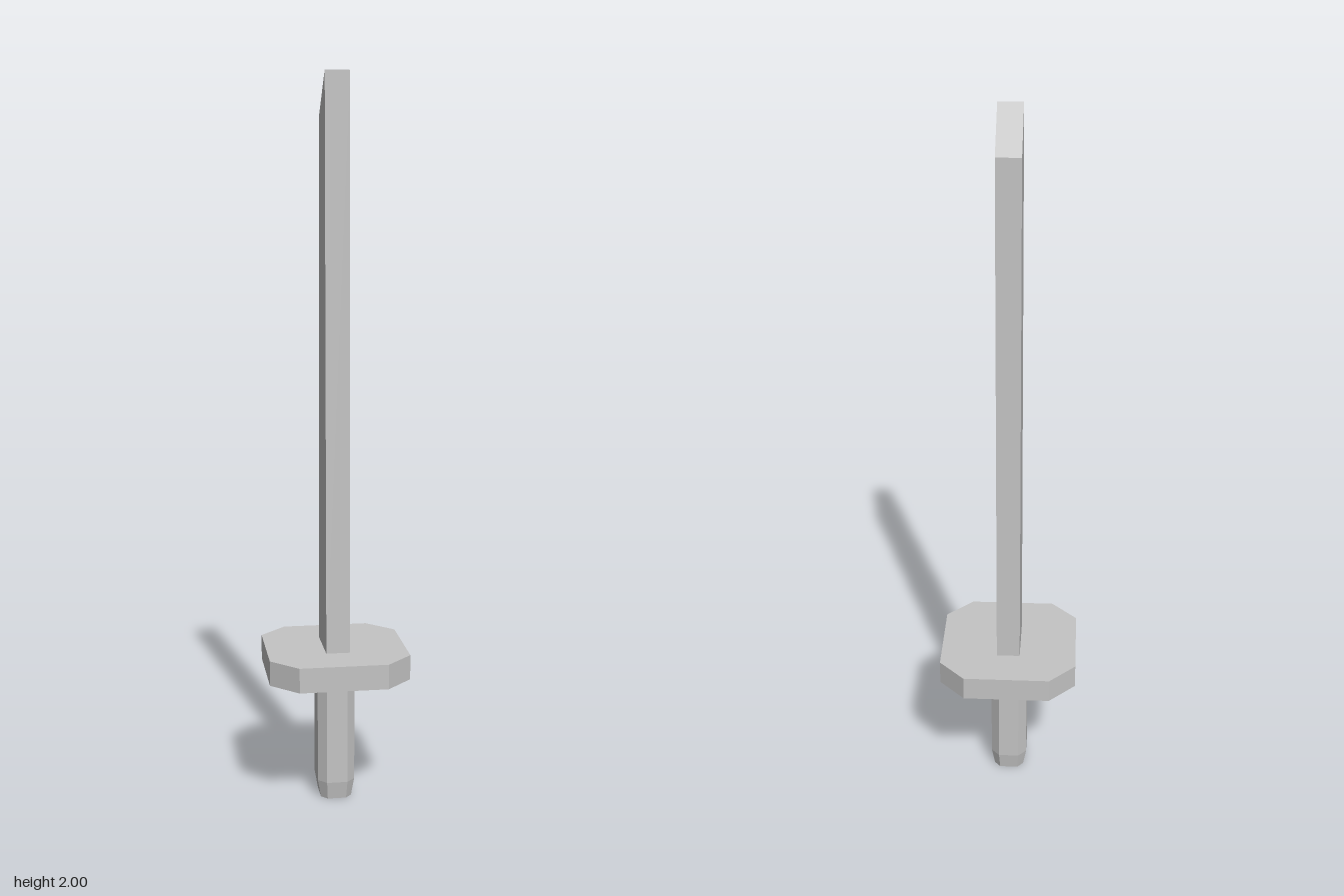
import * as THREE from 'three';

// Rectangle with cut corners: half sizes hx, hz and half lengths fx, fz of the flats
function cutRect(y, hx, hz, fx, fz) {
  return [
    [hx, fz], [hx, -fz], [fx, -hz], [-fx, -hz],
    [-hx, -fz], [-hx, fz], [-fx, hz], [fx, hz],
  ].map(([x, z]) => [x, y, z]);
}

// Joins cross-sections from bottom to top and caps both ends
function loft(rings) {
  const n = rings[0].length;
  const index = [];
  for (let r = 0; r < rings.length - 1; r++) {
    for (let i = 0; i < n; i++) {
      const a = r * n + i, b = r * n + (i + 1) % n;
      index.push(a, b, b + n, a, b + n, a + n);
    }
  }
  const top = (rings.length - 1) * n;
  for (let i = 1; i < n - 1; i++) {
    index.push(0, i + 1, i, top, top + i, top + i + 1);
  }
  const indexed = new THREE.BufferGeometry();
  indexed.setAttribute('position', new THREE.Float32BufferAttribute(rings.flat(2), 3));
  indexed.setIndex(index);
  const geometry = indexed.toNonIndexed();
  geometry.computeVertexNormals();
  return geometry;
}

export function createModel() {
  const model = new THREE.Group();
  model.name = 'sword';
  const steel = new THREE.MeshStandardMaterial({ color: 0xc4c4c4 });
  steel.name = 'grey steel';

  const add = (name, geometry) => {
    const mesh = new THREE.Mesh(geometry, steel);
    mesh.name = name;
    model.add(mesh);
  };

  // Handle with a slightly narrowed pommel end
  add('handle', loft([
    cutRect(0, 0.043, 0.052, 0.026, 0.033),
    cutRect(0.05, 0.052, 0.06, 0.029, 0.035),
    cutRect(0.37, 0.052, 0.06, 0.029, 0.035),
  ]));

  // Flat guard with cut corners
  add('guard', loft([0.365, 0.434].map((y) => cutRect(y, 0.194, 0.194, 0.121, 0.121))));

  // Tapered blade with a slanted tip, profile drawn as (z, y)
  const width = 0.066;
  const profile = new THREE.Shape([
    [-0.078, 0.43], [0.076, 0.43], [0.055, 2], [-0.056, 1.893],
  ].map(([z, y]) => new THREE.Vector2(z, y)));
  const blade = new THREE.ExtrudeGeometry(profile, { depth: width, bevelEnabled: false });
  blade.translate(0, 0, -width / 2).rotateY(-Math.PI / 2);
  add('blade', blade);

  return model;
}
